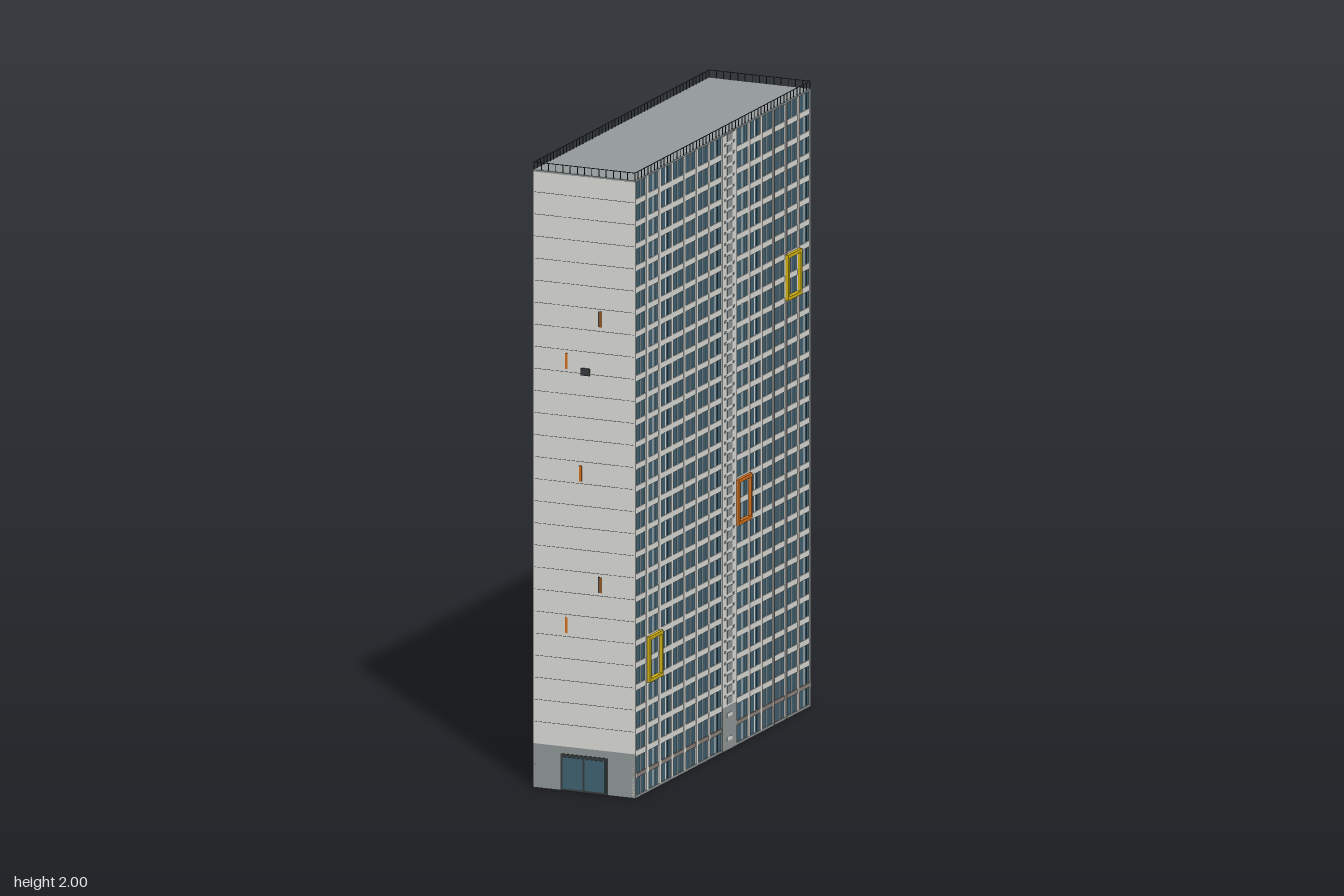
import * as THREE from 'three';
import { mergeGeometries } from 'three/addons/utils/BufferGeometryUtils.js';

const L = 1.302, D = 0.35, H = 1.975, FLOORS = 28, P = H / FLOORS;
const BAY = 0.0918, CORE_L = -L / 2 + 7 * BAY, CORE_R = L / 2 - 6 * BAY, CORE = (CORE_L + CORE_R) / 2;
const BASE = 2 * P;

const material = (name, color) => {
  const m = new THREE.MeshStandardMaterial({ color });
  m.name = name;
  return m;
};

// One box from its extents: x, y and z ranges
function span(x0, x1, y0, y1, z0, z1) {
  const g = new THREE.BoxGeometry(x1 - x0, y1 - y0, z1 - z0);
  return g.translate((x0 + x1) / 2, (y0 + y1) / 2, (z0 + z1) / 2);
}

function part(name, mat, boxes) {
  const mesh = new THREE.Mesh(mergeGeometries(boxes), mat);
  mesh.name = name;
  return mesh;
}

export function createModel() {
  const wall = material('pale concrete', 0xe3e3df);
  const base = material('grey plinth', 0x969d9d);
  const roof = material('roof grey', 0x959c9c);
  const glass = material('blue glass', 0x426676);
  const dark = material('charcoal', 0x3a3e40);
  const yellow = material('yellow', 0xd8b814);
  const orange = material('orange', 0xdc741c);
  const taupe = material('taupe trim', 0x908680);

  const tower = new THREE.Group();
  tower.name = 'tower';
  tower.rotation.y = THREE.MathUtils.degToRad(20.1);

  // Shell: glazed core, end walls, plinth and roof
  const x = L / 2, z = D / 2;
  const ends = (y0, y1) => [span(-x, -x + 0.006, y0, y1, -z, z), span(x - 0.006, x, y0, y1, -z, z)];
  tower.add(
    part('glazing', glass, [span(-x + 0.005, x - 0.005, 0.005, H - 0.006, -z + 0.004, z - 0.004)]),
    part('endWalls', wall, ends(BASE, H - 0.005)),
    part('endPlinths', base, ends(0, BASE)),
    part('groundSlab', base, [span(-x, x, 0, 0.008, -z, z)]),
    part('roofSlab', roof, [span(-x, x, H - 0.006, H, -z, z)])
  );

  // Hairline joints between the end wall panels
  const joints = [];
  for (let n = 3; n < FLOORS; n++) {
    joints.push(span(-x - 0.0006, x + 0.0006, n * P - 0.0005, n * P + 0.0005, -z + 0.005, z - 0.005));
  }
  tower.add(part('panelJoints', dark, joints));

  // Left edge of each bay, skipping the stair core
  const bays = [];
  for (let i = 0; i < 7; i++) bays.push(-x + i * BAY);
  for (let i = 0; i < 6; i++) bays.push(CORE_R + i * BAY);

  // The two long sides match under a half turn
  function facade(name) {
    const g = new THREE.Group();
    g.name = name;
    const back = z - 0.01;

    const bands = [];
    for (let n = 2; n < FLOORS; n++) bands.push(span(-x, x, n * P - 0.0095, n * P + 0.0095, back, z - 0.001));
    g.add(part('floorBands', wall, bands));
    g.add(part('plinthBand', taupe, [span(-x, x, P - 0.007, P + 0.007, back, z - 0.0005)]));

    const fins = [], mullions = [], bars = [], strips = [];
    bays.forEach((b, i) => {
      const w = i === 1 || i === 2 ? 0.01 : 0.007;
      if (i > 0 && i !== 7) fins.push(span(b - w, b + w, 0, H - 0.006, back, z));
      mullions.push(span(b + BAY / 2 - 0.0025, b + BAY / 2 + 0.0025, 0.008, H - 0.006, back, z - 0.003));
      bars.push(span(b + BAY * 0.72 - 0.0015, b + BAY * 0.72 + 0.0015, 0.008, H - 0.006, back, z - 0.0035));
      if (i > 7) strips.push(span(b + 0.002, b + 0.0075, 0, H - 0.006, back, z + 0.0008));
    });
    fins.push(span(-x, -x + 0.008, 0, H - 0.006, back, z), span(x - 0.008, x, 0, H - 0.006, back, z));
    g.add(part('verticalFins', wall, fins), part('mullions', wall, mullions),
      part('windowBars', dark, bars), part('finTrim', taupe, strips));

    // Stair core with central vents and small side slots, two rows to every floor
    g.add(part('stairCore', wall, [span(CORE_L, CORE_R, BASE, H - 0.006, back, z + 0.001)]));
    g.add(part('stairCoreFoot', base, [span(CORE_L, CORE_R, 0, BASE, back, z + 0.001)]));
    const vents = [], slots = [];
    for (let n = 4; n < FLOORS * 2; n++) {
      const y = (n + 0.5) * P / 2;
      vents.push(span(CORE - 0.02, CORE + 0.02, y - 0.012, y + 0.012, z, z + 0.002));
      for (const s of [-1, 1]) {
        const c = CORE + s * 0.031;
        slots.push(span(c - 0.006, c + 0.006, y + 0.012, y + 0.02, z, z + 0.002));
      }
    }
    g.add(part('stairVents', base, vents), part('stairSideSlots', base, slots));
    g.add(part('stairFootSlots', wall, [0.035, 0.112].map(y => span(CORE - 0.02, CORE + 0.02, y - 0.006, y + 0.006, z, z + 0.002))));

    // Coloured frames, each one bay wide and two floors tall
    [[1, 5, yellow, 'lowerFrame'], [7, 10, orange, 'middleFrame'], [11, 19, yellow, 'upperFrame']].forEach(([i, f, mat, label]) => {
      const a = bays[i] - 0.005, b = bays[i] + BAY + 0.005, y0 = f * P - 0.001, y1 = (f + 2) * P + 0.004;
      const t = 0.011, zf = z + 0.01;
      g.add(part(label, mat, [
        span(a, a + t, y0, y1, back, zf), span(b - t, b, y0, y1, back, zf),
        span(a + t, b - t, y0, y0 + t, back, zf), span(a + t, b - t, y1 - t, y1, back, zf)
      ]));
    });
    return g;
  }
  const front = facade('frontFacade'), rear = facade('rearFacade');
  rear.rotation.y = Math.PI;
  tower.add(front, rear);

  // Small upright accents on both end walls: position along the wall, height
  function endAccents(name) {
    const g = new THREE.Group();
    g.name = name;
    const slim = (w, y, z0, z1) => span(x, x + 0.003, y - 0.025, y + 0.025, w + z0, w + z1);
    g.add(part('orangeAccents', orange, [[0.06, 1.375], [0.012, 1.02], [0.06, 0.53]].map(([w, y]) => slim(w, y, -0.004, 0.004))));
    for (const y of [1.52, 0.67]) {
      g.add(part('accentOrangeHalf', orange, [slim(-0.054, y, -0.005, 0)]));
      g.add(part('accentDarkHalf', dark, [slim(-0.054, y, 0, 0.005)]));
    }
    return g;
  }
  const rightEnd = endAccents('rightEndAccents'), leftEnd = endAccents('leftEndAccents');
  leftEnd.rotation.y = Math.PI;
  tower.add(rightEnd, leftEnd);

  // Entrance and a wall unit on one end
  tower.add(
    part('entranceFrame', dark, [span(-x - 0.003, -x, 0, 0.118, -0.08, 0.08)]),
    part('entranceGlass', glass, [[-0.072, -0.004], [0.004, 0.072]].map(([a, b]) => span(-x - 0.005, -x - 0.002, 0.008, 0.108, a, b))),
    part('wallUnit', dark, [span(-x - 0.005, -x, 1.335, 1.358, -0.01, 0.02)])
  );

  // Roof railing: posts and a handrail round the edge
  const rx = x - 0.003, rz = z - 0.003, r = 0.0011, posts = [], rails = [];
  const post = (px, pz) => posts.push(span(px - r, px + r, H, 2, pz - r, pz + r));
  for (let i = 0; i <= 54; i++) for (const s of [-1, 1]) post(-rx + 2 * rx * i / 54, s * rz);
  for (let i = 1; i < 14; i++) for (const s of [-1, 1]) post(s * rx, -rz + 2 * rz * i / 14);
  for (const s of [-1, 1]) {
    rails.push(span(-rx, rx, 1.998, 2, s * rz - r, s * rz + r));
    rails.push(span(s * rx - r, s * rx + r, 1.998, 2, -rz, rz));
  }
  tower.add(part('railingPosts', dark, posts), part('railingRails', dark, rails));

  const model = new THREE.Group();
  model.name = 'towerBlock';
  model.add(tower);
  return model;
}
